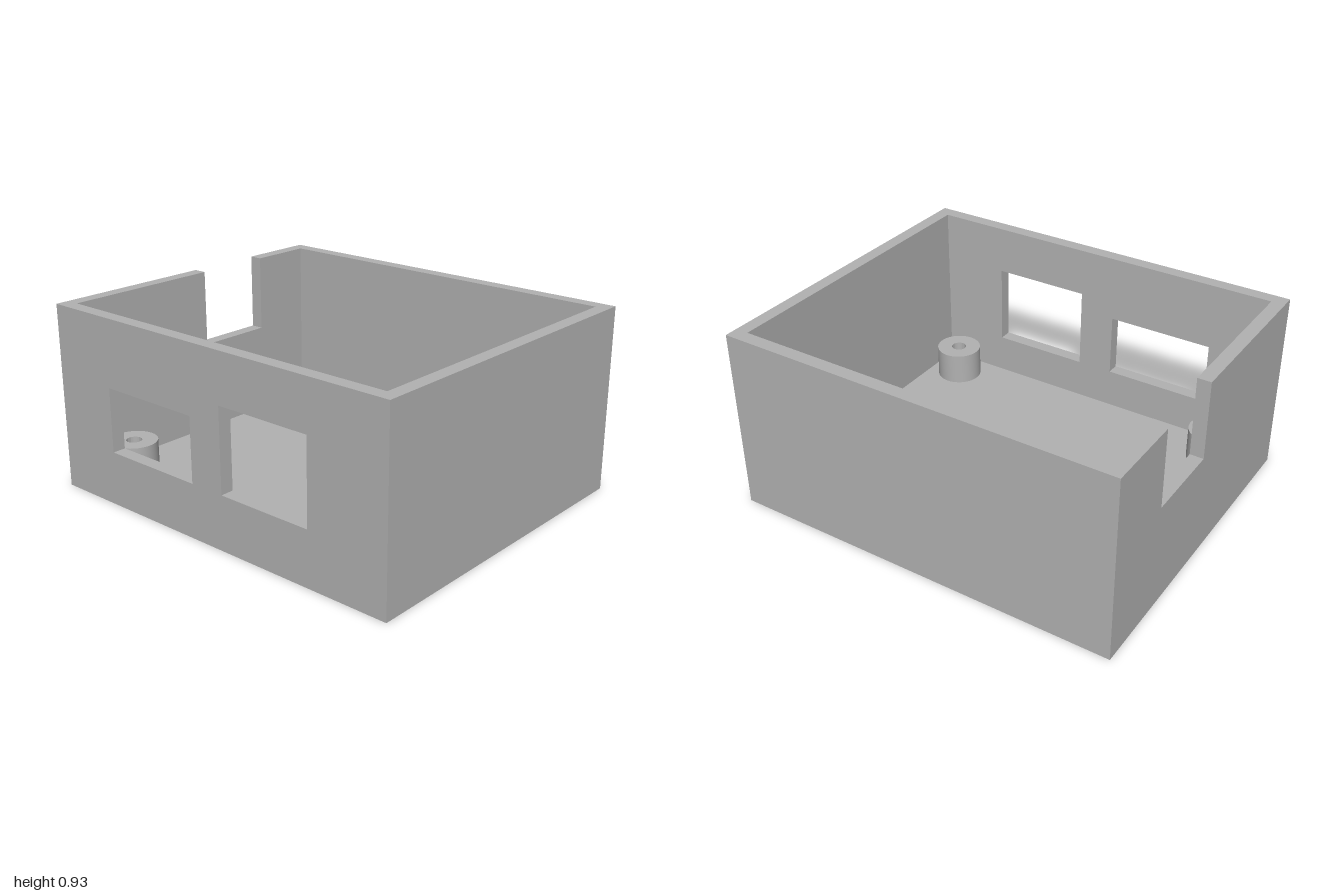
import * as THREE from 'three';
import { toCreasedNormals } from 'three/addons/utils/BufferGeometryUtils.js';

const W = 1, D = 0.842, H = 0.928, T = 0.067;   // half width, half depth, height, wall thickness
const BOSS_X = 0.77, BOSS_Z = 0.617, BOSS_R = 0.117, HOLE_R = 0.039, BOSS_TOP = 0.233;

function polygon(points) {
  return new THREE.Shape(points.map(([x, y]) => new THREE.Vector2(x, y)));
}

function rect(x0, y0, x1, y1) {
  return polygon([[x0, y0], [x1, y0], [x1, y1], [x0, y1]]);
}

function circle(x, y, r) {
  return new THREE.Shape().absarc(x, y, r, 0, Math.PI * 2, false);
}

function extrude(shape, depth) {
  const geometry = new THREE.ExtrudeGeometry(shape, { depth, bevelEnabled: false, curveSegments: 32 });
  return toCreasedNormals(geometry, 0.6);
}

export function createModel() {
  const group = new THREE.Group();
  group.name = 'enclosure';
  const grey = new THREE.MeshStandardMaterial({ color: 0xb2b2b2 });
  grey.name = 'grey plastic';

  const add = (name, geometry, x, y, z) => {
    const mesh = new THREE.Mesh(geometry, grey);
    mesh.name = name;
    mesh.position.set(x, y, z);
    group.add(mesh);
  };

  const corners = [];
  for (const sx of [-1, 1]) for (const sz of [-1, 1]) corners.push([sx * BOSS_X, sz * BOSS_Z]);

  // Floor with four screw holes
  const floor = rect(-W, -D, W, D);
  for (const [x, z] of corners) floor.holes.push(circle(x, z, HOLE_R));
  add('floor', extrude(floor, T).rotateX(-Math.PI / 2), 0, 0, 0);

  // Hollow standoffs above the screw holes
  const boss = circle(0, 0, BOSS_R);
  boss.holes.push(circle(0, 0, HOLE_R));
  const bossGeometry = extrude(boss, BOSS_TOP - T).rotateX(-Math.PI / 2);
  for (const [x, z] of corners) add('standoff', bossGeometry, x, T, z);

  // Front wall with two connector windows, plain back wall
  const front = rect(-W, T, W, H);
  front.holes.push(rect(-0.645, 0.27, -0.1, 0.59), rect(0.085, 0.27, 0.585, 0.683));
  add('frontWall', extrude(front, T), 0, 0, D - T);
  add('backWall', extrude(rect(-W, T, W, H), T), 0, 0, -D);

  // Side walls, the right one with a cable notch in its rim
  const d = D - T;
  add('leftWall', extrude(rect(-d, T, d, H), T).rotateY(-Math.PI / 2), W, 0, 0);
  const notched = polygon([
    [-d, T], [d, T], [d, H], [-0.04, H], [-0.04, 0.535], [-0.45, 0.535], [-0.45, H], [-d, H],
  ]);
  add('rightWall', extrude(notched, T).rotateY(-Math.PI / 2), -W + T, 0, 0);

  return group;
}
